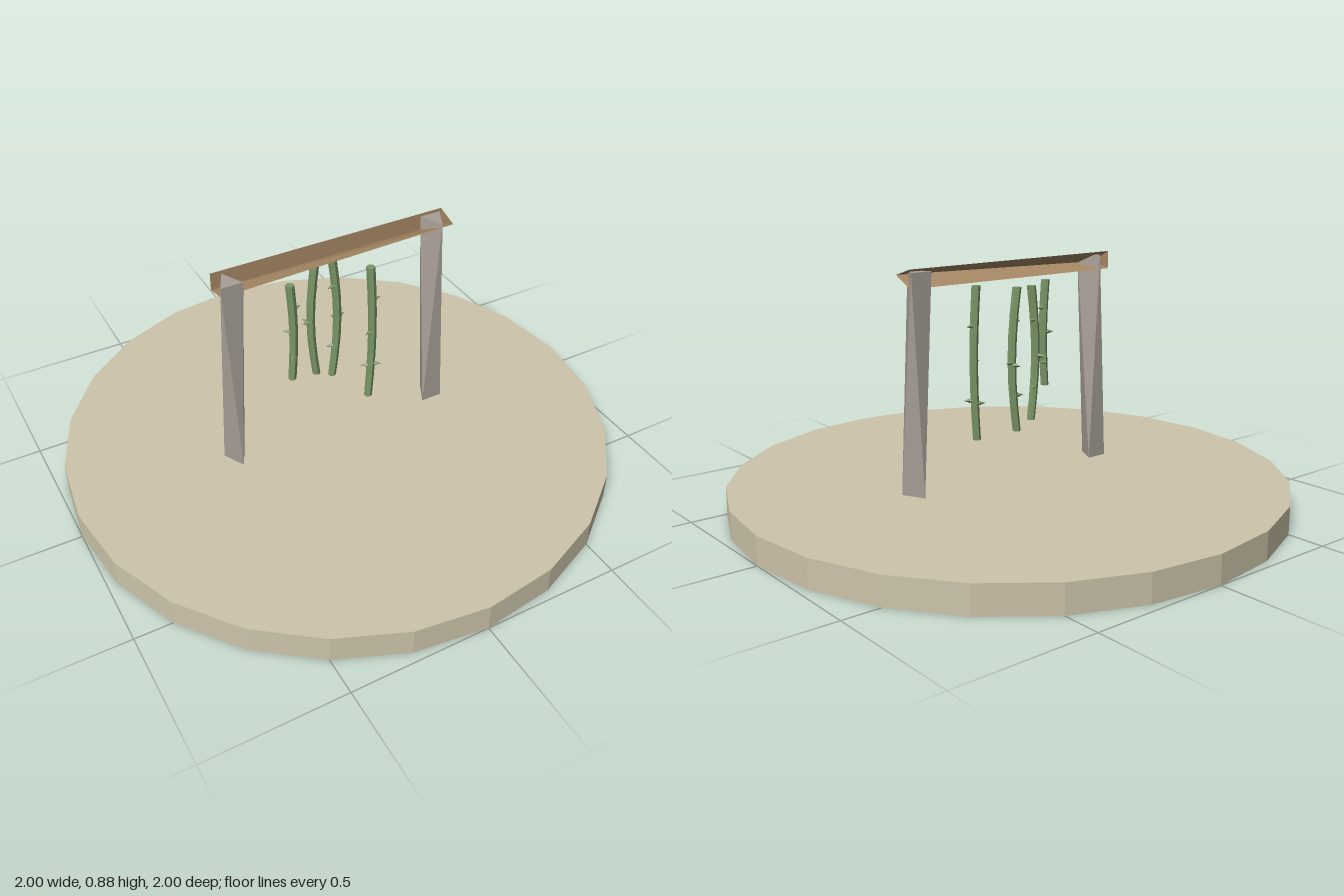
import * as THREE from 'three';

const flat = (name, color) => {
  const m = new THREE.MeshStandardMaterial({ color });
  m.name = name;
  m.flatShading = true;
  return m;
};

// Solid between two triangles; side faces run a->b, corners counter-clockwise seen from the b end
function triangleSolid(a, b, twisted) {
  const tris = [[a[0], a[2], a[1]], [b[0], b[1], b[2]]];
  for (let i = 0; i < 3; i++) {
    const j = (i + 1) % 3;
    if (twisted) tris.push([a[i], a[j], b[i]], [a[j], b[j], b[i]]);
    else tris.push([a[i], a[j], b[j]], [a[i], b[j], b[i]]);
  }
  const g = new THREE.BufferGeometry();
  g.setAttribute('position', new THREE.Float32BufferAttribute(tris.flat(2), 3));
  g.computeVertexNormals();
  return g;
}

export function createModel() {
  const sand = flat('sand', 0xcdc4aa);
  const weathered = flat('weathered post', 0xa89f97);
  const wood = flat('beam wood', 0xa98a66);
  const green = flat('vine green', 0x7b9868);

  const model = new THREE.Group();
  model.name = 'vineFrame';
  const add = (parent, geometry, material, name) => {
    const mesh = new THREE.Mesh(geometry, material);
    mesh.name = name;
    parent.add(mesh);
    return mesh;
  };

  // Round ground slab
  add(model, new THREE.CylinderGeometry(1, 1, 0.1, 24), sand, 'base').position.y = 0.05;

  // Posts: triangular ends turned half round from bottom to top
  const h = 0.04;
  const pointFront = (x, y) => [[x, y, h], [x + h, y, -h], [x - h, y, -h]];
  const pointBack = (x, y) => [[x + h, y, h], [x, y, -h], [x - h, y, h]];
  add(model, triangleSolid(pointFront(-0.4, 0.1), pointBack(-0.4, 0.868), true), weathered, 'rightPost');
  add(model, triangleSolid(pointBack(0.395, 0.1),
    [[0.395 + h, 0.868, -h], [0.395 - h, 0.868, -h], [0.395, 0.868, h]], true), weathered, 'leftPost');

  // Wedge-shaped cross beam, upright at the back
  const wedge = (x, y) => [[x, 0.88, -h], [x, y, h], [x, 0.816, -h]];
  add(model, triangleSolid(wedge(-0.44, 0.835).reverse(), wedge(0.44, 0.855).reverse(), false), wood, 'beam');

  // Hanging vines: bowed stems with thorns [height, angle about y]
  const vines = [
    { x: -0.187, z: 0.02, end: 0.4, bow: 0.01, thorns: [[0.69, 0.3], [0.6, 2.6], [0.5, 4.2], [0.49, 1.1]] },
    { x: -0.045, z: -0.07, end: 0.31, bow: -0.02, thorns: [[0.67, 0.5], [0.55, 3.4], [0.54, 2.0], [0.43, 0.8]] },
    { x: 0.02, z: -0.07, end: 0.28, bow: 0.022, thorns: [[0.67, 3.4], [0.53, 0.4], [0.52, 1.8], [0.41, 2.9]] },
    { x: 0.105, z: 0.05, end: 0.235, bow: 0.012, thorns: [[0.65, 0.2], [0.52, 3.5], [0.38, 5.6], [0.37, 2.7]] },
  ];
  const top = 0.79, radius = 0.016;
  vines.forEach((v, n) => {
    const vine = new THREE.Group();
    vine.name = `vine${n + 1}`;
    vine.position.set(v.x, 0, v.z);
    model.add(vine);
    const bend = (y) => v.bow * Math.sin(Math.PI * (top - y) / (top - v.end));

    const stem = new THREE.CylinderGeometry(radius, radius * 0.9, top - v.end, 6, 6);
    stem.translate(0, (top + v.end) / 2, 0);
    const p = stem.attributes.position;
    for (let i = 0; i < p.count; i++) p.setX(i, p.getX(i) + bend(p.getY(i)));
    stem.computeVertexNormals();
    add(vine, stem, green, 'stem');

    for (const [y, angle] of v.thorns) {
      const thorn = new THREE.ConeGeometry(0.012, 0.034, 4);
      thorn.translate(0, 0.023, 0).rotateZ(-Math.PI / 2).rotateY(angle);
      add(vine, thorn, green, 'thorn').position.set(bend(y), y, 0);
    }
  });
  return model;
}
